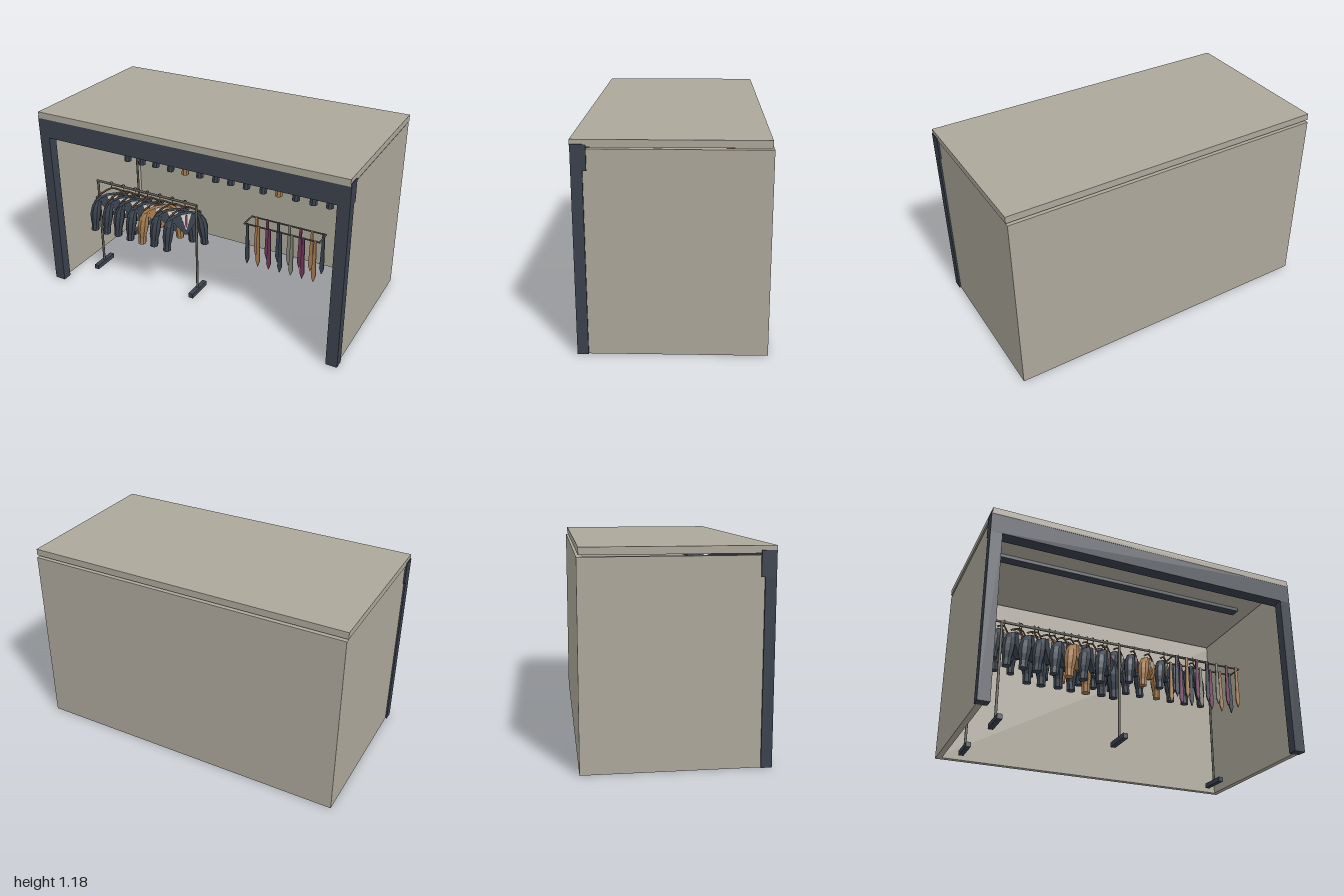
import * as THREE from 'three';

const mat = (name, color, extra = {}) => {
  const m = new THREE.MeshStandardMaterial({ color, ...extra });
  m.name = name;
  return m;
};

export function createModel() {
  const M = {
    panel: mat('stone panel', 0xaca79a),
    frame: mat('slate frame', 0x3a414c),
    metal: mat('rail metal', 0x5b5a52),
    wood: mat('hanger wood', 0x6b5038),
    navy: mat('navy cloth', 0x3b444f, { flatShading: true }),
    tan: mat('tan cloth', 0xa67c50, { flatShading: true }),
    plum: mat('plum silk', 0x70395a),
    grey: mat('grey silk', 0x85857c),
    white: mat('shirt white', 0xd8d4ca),
  };
  const root = new THREE.Group();
  root.name = 'clothesStall';

  const add = (parent, name, geo, material, x = 0, y = 0, z = 0) => {
    const m = new THREE.Mesh(geo, material);
    m.name = name;
    m.position.set(x, y, z);
    parent.add(m);
    return m;
  };
  // Box given by its limits on each axis
  const box = (parent, name, material, [x0, x1], [y0, y1], [z0, z1]) =>
    add(parent, name, new THREE.BoxGeometry(x1 - x0, y1 - y0, z1 - z0), material,
      (x0 + x1) / 2, (y0 + y1) / 2, (z0 + z1) / 2);
  const tube = (points, r, segs = 8, sides = 6) => new THREE.TubeGeometry(
    new THREE.CatmullRomCurve3(points.map(p => new THREE.Vector3(...p))), segs, r, sides);
  const plate = (points, depth) => new THREE.ExtrudeGeometry(
    new THREE.Shape(points.map(p => new THREE.Vector2(...p))), { depth, bevelEnabled: false })
    .translate(0, 0, -depth / 2);

  // Shell: walls, roof, front portal
  box(root, 'backWall', M.panel, [-0.99, 0.99], [0, 1.13], [-0.51, -0.475]);
  for (const s of [-1, 1]) {
    box(root, 'sideWall', M.panel, [s * 0.9725 - 0.0175, s * 0.9725 + 0.0175], [0, 1.13], [-0.475, 0.45]);
    box(root, 'pillar', M.frame, [s * 0.965 - 0.035, s * 0.965 + 0.035], [0, 1.02], [0.45, 0.51]);
  }
  box(root, 'roof', M.panel, [-0.995, 0.995], [1.14, 1.18], [-0.5, 0.512]);
  box(root, 'beam', M.frame, [-1, 1], [1.02, 1.155], [0.43, 0.51]);
  box(root, 'ceilingTrack', M.frame, [-0.85, 0.85], [1.115, 1.137], [0.07, 0.135]);

  // Sleeve: a cylinder bent from the shoulder outward, squeezed at both ends
  const sleeveGeo = side => {
    const H = 0.225;
    const g = new THREE.CylinderGeometry(1, 1, H, 8, 5);
    const p = g.attributes.position;
    for (let i = 0; i < p.count; i++) {
      const t = 0.5 - p.getY(i) / H;
      const r = 0.018 + 0.016 * Math.sin(Math.PI * Math.min(1, t * 1.1 + 0.1)) + 0.008 * t;
      const cx = side * (0.088 + 0.038 * Math.sqrt(t));
      const lean = p.getX(i) * side * 0.012 * (1 - t);
      p.setXYZ(i, cx + p.getX(i) * r, -t * H - lean, p.getZ(i) * r * 1.05);
    }
    g.computeVertexNormals();
    return g;
  };
  const G = {
    sleeves: [sleeveGeo(-1), sleeveGeo(1)],
    chest: plate([[-0.1, -0.005], [-0.035, 0.018], [0.035, 0.018], [0.1, -0.005], [0.06, -0.06], [0.008, -0.13], [-0.008, -0.13], [-0.06, -0.06]], 0.03),
    shirt: plate([[-0.035, 0.016], [0.035, 0.016], [0, -0.1]], 0.036),
    neckTie: plate([[-0.008, 0.01], [0.008, 0.01], [0.009, -0.05], [0, -0.085], [-0.009, -0.05]], 0.042),
    hanger: tube([[-0.105, 0.005, 0], [-0.06, 0.035, 0], [0, 0.06, 0], [0.06, 0.035, 0], [0.105, 0.005, 0]], 0.006, 10),
    hook: tube([[0, 0.06, 0], [0, 0.075, 0], [0.01, 0.09, 0], [0.007, 0.104, 0], [-0.004, 0.105, 0], [-0.01, 0.096, 0]], 0.003, 10, 5),
  };

  // Hanger with its jacket, shoulder line at y = 0
  const jacket = (cloth, tie) => {
    const g = new THREE.Group();
    g.name = 'hangingJacket';
    add(g, 'hanger', G.hanger, M.wood);
    add(g, 'hook', G.hook, M.metal);
    G.sleeves.forEach(s => add(g, 'sleeve', s, cloth));
    add(g, 'chest', G.chest, cloth);
    add(g, 'shirt', G.shirt, M.white);
    add(g, 'neckTie', G.neckTie, tie);
    return g;
  };

  // Rack: two posts on bar feet, a rail and a row of angled jackets
  const rack = (name, x0, x1, y, z, first, step, count, tanAt) => {
    const g = new THREE.Group();
    g.name = name;
    for (const x of [x0, x1]) {
      box(g, 'foot', M.frame, [x - 0.015, x + 0.015], [0, 0.03], [z - 0.09, z + 0.09]);
      add(g, 'post', new THREE.CylinderGeometry(0.008, 0.008, y - 0.03, 8), M.metal, x, (y + 0.03) / 2, z);
    }
    add(g, 'rail', new THREE.CylinderGeometry(0.008, 0.008, x1 - x0 + 0.016, 8).rotateZ(Math.PI / 2),
      M.metal, (x0 + x1) / 2, y, z);
    const ties = [M.plum, M.tan, M.grey];
    for (let i = 0; i < count; i++) {
      const j = jacket(tanAt.includes(i) ? M.tan : M.navy, ties[i % 3]);
      j.position.set(first + i * step, y - 0.09, z);
      j.rotation.y = Math.PI / 4 + 0.06 * Math.sin(i * 2.3);
      g.add(j);
    }
    root.add(g);
  };
  rack('backRack', -0.86, 0.85, 0.91, -0.3, -0.786, 0.1165, 14, [4, 10]);
  rack('frontRack', -0.82, -0.08, 0.63, 0.21, -0.715, 0.0925, 7, [4]);

  // Tie display: rectangular rail with two rows of ties
  const display = new THREE.Group();
  display.name = 'tieDisplay';
  root.add(display);
  const tieGeo = plate([[-0.007, 0.008], [0.007, 0.008], [0.014, -0.23], [0, -0.27], [-0.014, -0.23]], 0.008);
  const colours = [M.navy, M.tan, M.plum, M.navy, M.grey, M.plum, M.tan];
  for (const [row, z] of [0.14, 0.24].entries()) {
    add(display, 'tieRail', new THREE.CylinderGeometry(0.005, 0.005, 0.48, 6).rotateZ(Math.PI / 2), M.metal, 0.51, 0.61, z);
    colours.forEach((c, i) => add(display, 'tie', tieGeo, row ? c : colours[(i + 1) % 7],
      0.294 + i * 0.072 + (row ? 0 : 0.012), 0.61, z + 0.006));
  }
  for (const x of [0.27, 0.75])
    add(display, 'endRail', new THREE.CylinderGeometry(0.005, 0.005, 0.11, 6).rotateX(Math.PI / 2), M.metal, x, 0.61, 0.19);

  return root;
}
